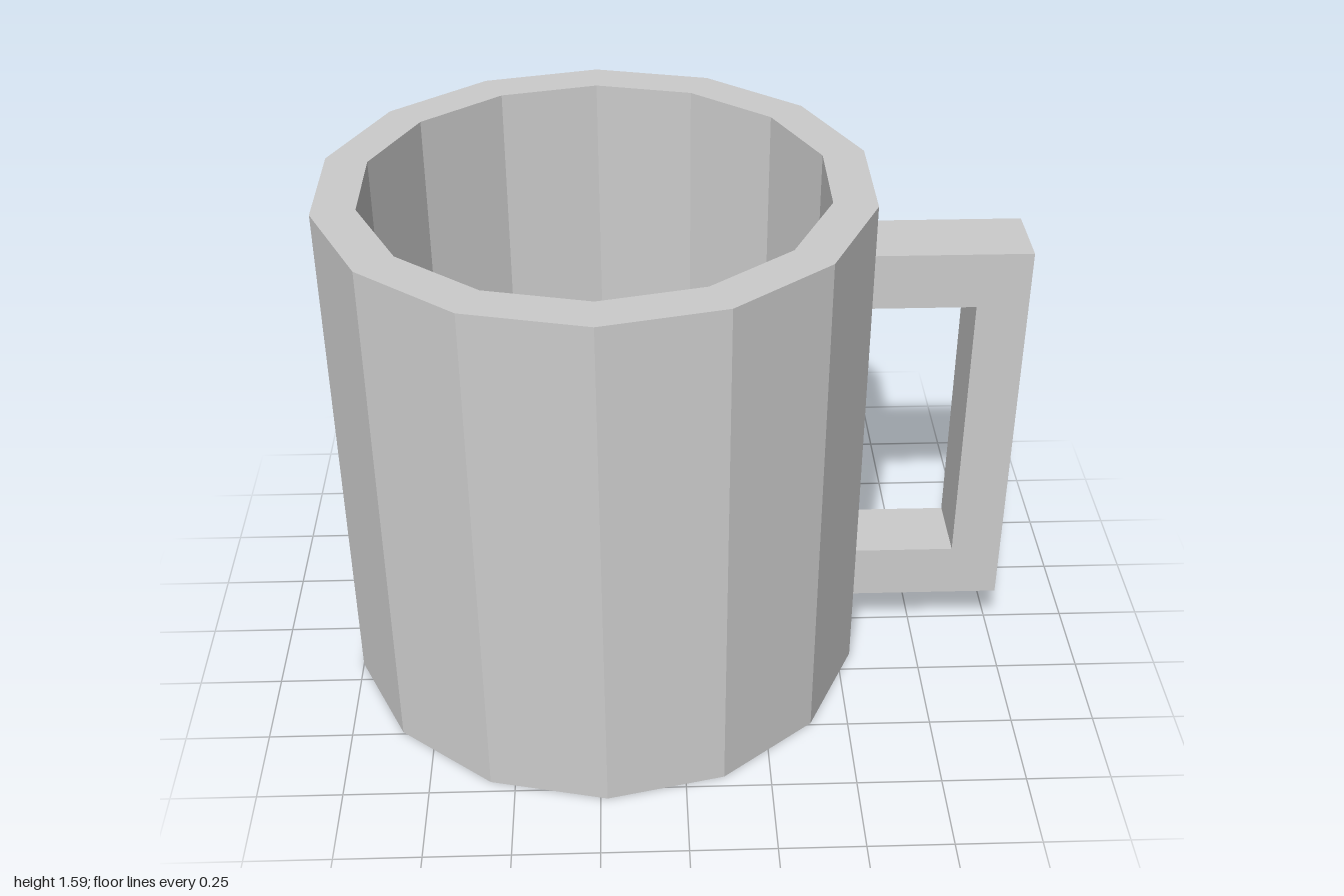
import * as THREE from 'three';

const SIDES = 14;
const OUTER = 0.79, INNER = 0.665;
const HEIGHT = 1.59, FLOOR = 0.1;
const CENTRE_X = -0.23;
const HANDLE_DEPTH = 0.215;

export function createModel() {
  const group = new THREE.Group();
  group.name = 'mug';
  const material = new THREE.MeshStandardMaterial({ color: 0xcccccc, flatShading: true });

  // Faceted cup: base, outer wall, flat rim, inner wall and inside floor
  const profile = [
    [0, 0], [OUTER, 0], [OUTER, HEIGHT], [INNER, HEIGHT], [INNER, FLOOR], [0, FLOOR],
  ].map(([r, y]) => new THREE.Vector2(r, y));
  const cup = new THREE.Mesh(new THREE.LatheGeometry(profile, SIDES), material);
  cup.name = 'cup';
  cup.position.x = CENTRE_X;
  group.add(cup);

  // Square C-shaped handle, flush with the flat wall facet on the +x side
  const wallX = CENTRE_X + OUTER * Math.cos(Math.PI / SIDES);
  const outline = new THREE.Shape([
    [wallX, 0.19], [1, 0.19], [1, 1.4], [wallX, 1.4],
    [wallX, 1.23], [0.85, 1.23], [0.85, 0.36], [wallX, 0.36],
  ].map(([x, y]) => new THREE.Vector2(x, y)));
  const handle = new THREE.Mesh(
    new THREE.ExtrudeGeometry(outline, { depth: HANDLE_DEPTH, bevelEnabled: false }),
    material,
  );
  handle.name = 'handle';
  handle.position.z = -HANDLE_DEPTH / 2;
  group.add(handle);

  return group;
}
